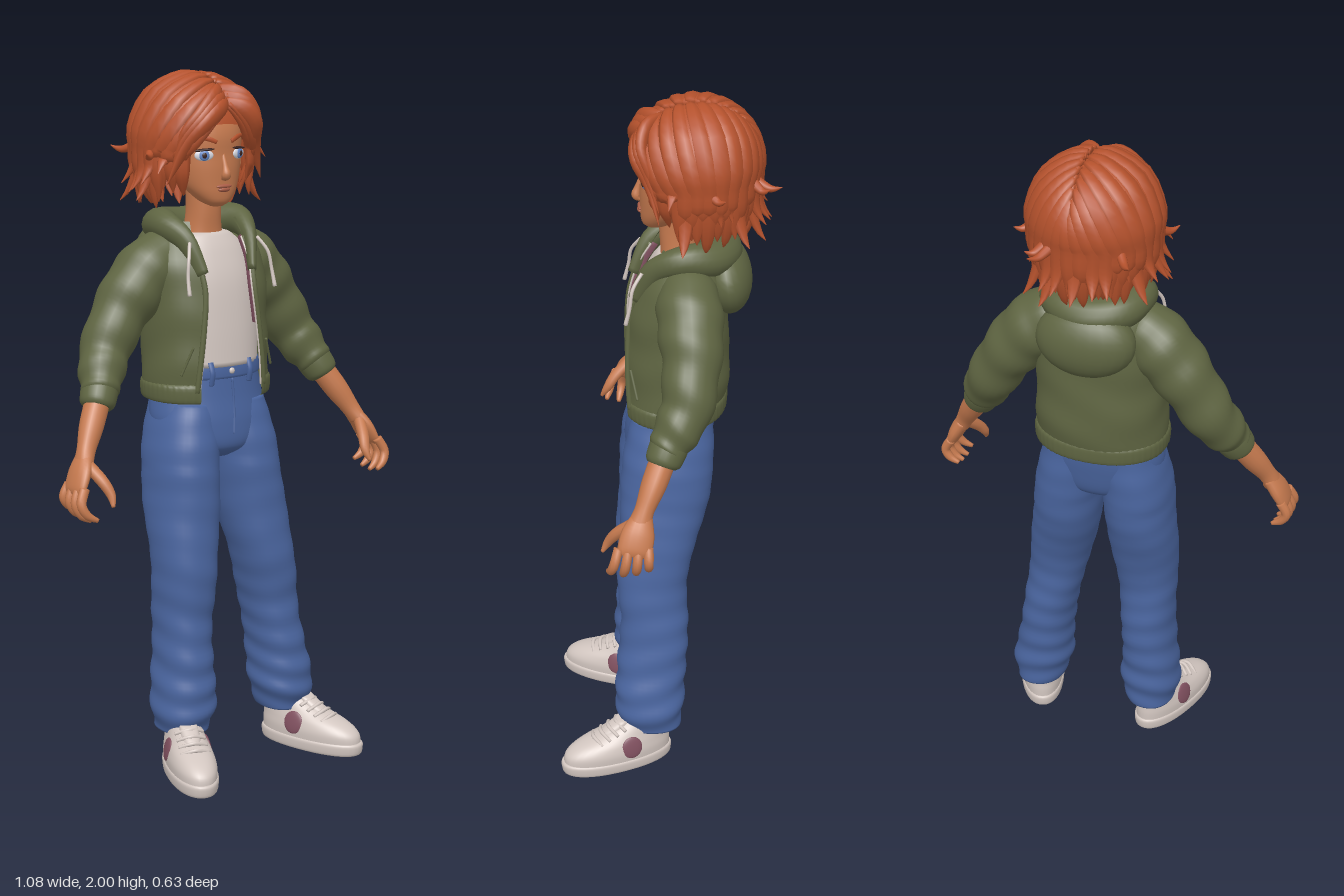
import * as THREE from 'three';
import { mergeVertices } from 'three/addons/utils/BufferGeometryUtils.js';

const mat = (name, color) => Object.assign(new THREE.MeshStandardMaterial({ color, side: THREE.DoubleSide }), { name });
const M = {
  skin: mat('skin', 0xc67a4f), hair: mat('hair', 0xb4512c), olive: mat('olive cloth', 0x5f6542),
  denim: mat('denim', 0x4a659f), cream: mat('cream', 0xd2c6c0), white: mat('eye white', 0xd9dae2),
  blue: mat('iris blue', 0x6488c8), dark: mat('dark brown', 0x3a2320), lip: mat('lip', 0xa85c46), mauve: mat('mauve', 0x80505f),
};
const V = (x, y, z) => new THREE.Vector3(x, y, z);
let seed = 7;
const rnd = () => (seed = (seed * 16807) % 2147483647) / 2147483647;

// Smooth interpolation through rows of numbers, u from 0 to 1
function sample(S, u) {
  const f = u * (S.length - 1), i = Math.min(Math.floor(f), S.length - 2), t = f - i;
  const a = S[Math.max(i - 1, 0)], b = S[i], c = S[i + 1], d = S[Math.min(i + 2, S.length - 1)];
  return b.map((_, k) => 0.5 * (2 * b[k] + (c[k] - a[k]) * t + (2 * a[k] - 5 * b[k] + 4 * c[k] - d[k]) * t * t
    + (3 * b[k] - a[k] - 3 * c[k] + d[k]) * t * t * t));
}

// Skin a surface over rings of points, with end caps when wanted
function surface(name, material, rings, caps) {
  const n = rings[0].length, pos = [], idx = [];
  rings.forEach(r => r.forEach(p => pos.push(p.x, p.y, p.z)));
  for (let i = 0; i < rings.length - 1; i++) for (let j = 0; j < n - 1; j++) {
    const a = i * n + j, c = a + n;
    idx.push(a, a + 1, c, a + 1, c + 1, c);
  }
  if (caps) [0, rings.length - 1].forEach((i, top) => {
    const m = V(0, 0, 0);
    for (let j = 0; j < n - 1; j++) m.addScaledVector(rings[i][j], 1 / (n - 1));
    const c = pos.length / 3;
    pos.push(m.x, m.y, m.z);
    for (let j = i * n; j < i * n + n - 1; j++) top ? idx.push(c, j, j + 1) : idx.push(c, j + 1, j);
  });
  let g = new THREE.BufferGeometry();
  g.setAttribute('position', new THREE.Float32BufferAttribute(pos, 3));
  g.setIndex(idx);
  g = mergeVertices(g, 1e-5);
  g.computeVertexNormals();
  const mesh = new THREE.Mesh(g, material);
  mesh.name = name;
  return mesh;
}

// Horizontal sections, bottom to top: [x, y, z, rx, rz, half width of the front opening]
const E = 2.2;
function loft(name, material, S, { steps = 30, n = 40, bump = () => 1 } = {}) {
  const open = S[0].length > 5, rings = [];
  for (let i = 0; i <= steps; i++) {
    const [x, y, z, rx, rz, o = 0] = sample(S, i / steps), ring = [];
    const a0 = Math.asin(Math.min(1, Math.pow(o / rx, E / 2)));
    for (let j = 0; j <= n; j++) {
      const a = a0 + (j / n) * (2 * Math.PI - 2 * a0), s = Math.sin(a), c = Math.cos(a), b = bump(a, y);
      const q = v => Math.sign(v) * Math.pow(Math.abs(v), 2 / E);
      ring.push(V(x + rx * b * q(s), y, z + rz * b * q(c)));
    }
    rings.push(ring);
  }
  return surface(name, material, rings, !open);
}

// Tapered tube along points [x, y, z, thickness, width along ref]
function limb(name, material, pts, { ref = V(0, 0, 1), steps = 16, n = 10, bump = () => 1 } = {}) {
  const P = pts.map(p => [p[0], p[1], p[2], p[3], p[4] ?? p[3]]), rings = [];
  const at = u => V(...sample(P, Math.min(1, Math.max(0, u))).slice(0, 3));
  for (let i = 0; i <= steps; i++) {
    const u = i / steps, [, , , r, w] = sample(P, u), c = at(u);
    const T = at(u + 0.01).sub(at(u - 0.01)).normalize();
    const S = ref.clone().addScaledVector(T, -ref.dot(T)).normalize(), D = S.clone().cross(T), ring = [];
    for (let j = 0; j <= n; j++) {
      const a = (j / n) * 2 * Math.PI, b = bump(u, a);
      ring.push(c.clone().addScaledVector(D, Math.cos(a) * r * b).addScaledVector(S, Math.sin(a) * w * b));
    }
    rings.push(ring);
  }
  return surface(name, material, rings, true);
}

function blob(name, material, p, s, r = [0, 0, 0]) {
  const m = new THREE.Mesh(new THREE.SphereGeometry(1, 24, 16), material);
  m.name = name;
  m.position.set(...p); m.scale.set(...s); m.rotation.set(...r);
  return m;
}
function group(name, ...parts) {
  const g = new THREE.Group();
  g.name = name;
  return g.add(...parts);
}

function makeHead() {
  const S = [[0, 1.632, .035, .018, .015], [0, 1.645, .025, .042, .042], [0, 1.67, .01, .066, .062], [0, 1.7, -.015, .086, .088],
    [0, 1.74, -.034, .1, .108], [0, 1.78, -.044, .107, .116], [0, 1.83, -.052, .113, .124], [0, 1.88, -.06, .11, .115],
    [0, 1.93, -.065, .085, .085], [0, 1.955, -.065, .03, .03]];
  const faceZ = (x, y) => {
    let best = S[0];
    for (let u = 0; u <= 1; u += 0.005) { const r = sample(S, u); if (Math.abs(r[1] - y) < Math.abs(best[1] - y)) best = r; }
    return best[2] + best[4] * Math.pow(Math.max(0, 1 - Math.pow(Math.abs(x / best[3]), E)), 1 / E);
  };
  const g = group('head', loft('face', M.skin, S),
    loft('neck', M.skin, [[0, 1.5, -.04, .07, .06], [0, 1.56, -.035, .054, .052], [0, 1.62, -.03, .048, .05], [0, 1.7, -.03, .05, .05]]),
    limb('nose', M.skin, [[0, 1.78, .066, .006, .006], [0, 1.745, .077, .01, .009], [0, 1.722, .083, .013, .014], [0, 1.71, .072, .006, .01]], { ref: V(1, 0, 0) }),
    blob('upperLip', M.lip, [0, 1.69, faceZ(0, 1.69)], [.026, .006, .007]),
    blob('lowerLip', M.lip, [0, 1.681, faceZ(0, 1.681)], [.02, .007, .008]));
  for (const s of [-1, 1]) {
    const z = faceZ(.058, 1.778), at = (dy, dz) => [s * (.058 + dz * .4), 1.778 + dy, z + dz], turn = [0, s * .42, 0];
    g.add(blob('eyeWhite', M.white, at(0, 0), [.027, .016, .008], turn), blob('iris', M.blue, at(0, .005), [.015, .0145, .005], turn),
      blob('pupil', M.dark, at(0, .0085), [.007, .008, .003], turn), blob('lash', M.dark, at(.015, .001), [.03, .004, .009], [0, s * .42, -s * .08]),
      limb('eyebrow', M.hair, [.025, .05, .075, .092].map((x, i) => {
        const y = [1.814, 1.824, 1.826, 1.812][i];
        return [s * x, y, faceZ(x, y) + .001, .004, [.006, .007, .005, .002][i]];
      }), { ref: V(0, 1, 0) }),
      blob('ear', M.skin, [s * .108, 1.742, -.035], [.012, .036, .024], [0, s * .4, -s * .15]));
  }
  return g;
}

function makeHair() {
  const C = V(0, 1.82, -.08), R = V(.163, .163, .162);
  const cap = new THREE.Mesh(new THREE.SphereGeometry(.158, 40, 24, 0, 2 * Math.PI, 0, 1.9), M.hair);
  cap.name = 'hairCap'; cap.position.copy(C); cap.rotation.x = -.6;
  const g = group('hair', cap), N = 13;
  // Layered locks fall from the parting to each side, then hang to pointed tips
  for (const s of [-1, 1]) for (let layer = 0; layer < 3; layer++) for (let k = 0; k < N; k++) {
    const f = (k + (layer % 2) * .5) / (N - .5), al = .95 - 2.1 * f, th = .8 + f * 2.34;
    const d0 = V(.1 + s * .05, Math.cos(al), Math.sin(al)).normalize(), d1 = V(Math.sin(th) * s, -.15, Math.cos(th)).normalize();
    const lift = 1 + layer * .03, on = d => d.clone().normalize().multiply(R).multiplyScalar(lift).add(C), pts = [];
    [0, .22, .48, .75, 1].forEach((t, i) => {
      const p = on(d0.clone().lerp(d1, t));
      pts.push([p.x, p.y, p.z, [.008, .014, .018, .018, .016][i], [.014, .024, .03, .032, .03][i]]);
    });
    const out = (r, y) => [C.x + d1.x * R.x * r, y, C.z + d1.z * R.z * r];
    const tip = (f < .2 ? 1.665 : 1.605) + layer * .03 + rnd() * .04, flick = rnd() < .22 ? 1.3 : .8 + rnd() * .2 + layer * .06;
    pts.push([...out(1.01 + layer * .03, tip * .45 + 1.795 * .55), .013, .024], [...out((flick + 1) / 2, tip + .03), .008, .014], [...out(flick, tip), .001, .001]);
    g.add(limb('lock', M.hair, pts, { ref: V(Math.cos(th) * s, 0, -Math.sin(th)), steps: 18, n: 8 }));
  }
  // Bangs sweep off the forehead
  for (const s of [-1, 1]) for (let k = 0; k < 3; k++) g.add(limb('bang', M.hair,
    [[.02, 1.955 - k * .017, .015 + k * .017, .01, .015], [.02 + s * .04, 1.94 - k * .018, .055 + k * .012, .018, .026], [.01 + s * .085, 1.892 - k * .016, .07 + k * .007, .017, .025],
      [s * .118, 1.835 - k * .02, .052, .012, .02], [s * (.135 + k * .012), 1.76 - k * .03, .025, .001, .001]], { ref: V(s * .6, .7, .3) }));
  // Stray flicks
  for (const [x, z, dx, dz] of [[-.1, -.19, -.055, -.085], [.06, -.22, .05, -.085], [.08, -.22, .05, -.05], [-.15, -.06, -.06, .06], [.15, -.1, .055, -.05]])
    g.add(limb('flick', M.hair, [[x, 1.8, z, .016], [x + dx * .6, 1.775, z + dz * .6, .011], [x + dx, 1.785, z + dz, .001]], { ref: V(0, 1, 0) }));
  return g;
}

function makeJacket() {
  const S = [[0, 1.12, -.02, .188, .148, .11], [0, 1.2, -.025, .188, .155, .102], [0, 1.3, -.025, .185, .15, .09], [0, 1.4, -.03, .188, .143, .08],
    [0, 1.48, -.04, .185, .128, .085], [0, 1.54, -.05, .155, .105, .085], [0, 1.59, -.05, .11, .08, .075]];
  const g = group('jacket', loft('jacketBody', M.olive, S, { bump: (a, y) => 1 + .012 * Math.sin(y * 45 + 2 * Math.sin(a * 2)) }),
    loft('hemBand', M.olive, [[0, 1.085, -.02, .18, .14, .105], [0, 1.092, -.02, .192, .151, .105], [0, 1.13, -.02, .194, .153, .105], [0, 1.142, -.02, .184, .146, .105]],
      { steps: 12, n: 120, bump: a => 1 + .006 * Math.sin(a * 90) }));
  const half = [[.085, 1.45, .09, .012, .02], [.108, 1.54, .04, .022, .032], [.122, 1.578, -.04, .04, .042], [.085, 1.568, -.12, .055, .05]];
  g.add(limb('hoodRim', M.olive, [...half, [0, 1.56, -.15, .06, .05], ...half.slice().reverse().map(p => [-p[0], ...p.slice(1)])], { ref: V(0, 1, 0), steps: 48, n: 16 }),
    blob('hoodBack', M.olive, [0, 1.485, -.165], [.142, .105, .073], [.15, 0, 0]));
  for (const s of [-1, 1]) {
    const edge = (dx, r) => S.slice(0, 6).map(([, y, z, rx, rz, o]) =>
      [s * (o - dx), y, z + rz * Math.pow(1 - Math.pow(o / rx, E), 1 / E), r]);
    g.add(limb('zipEdge', M.olive, edge(-.004, .008), { steps: 24 }), limb('zipTeeth', M.cream, edge(.004, .003), { steps: 24, n: 6 }),
      limb('lining', M.mauve, edge(.002, .002).slice(2).map(p => [p[0], p[1], p[2] - .012, .002, .01]), { n: 6 }),
      limb('drawstring', M.cream, [[s * .115, 1.54, .07, .005], [s * .135, 1.5, .096, .005], [s * .143, 1.45, .104, .005], [s * .146, 1.4, .116, .006]], { n: 8 }),
      limb('pocketSeam', M.olive, [[s * .125, 1.25, .103, .004], [s * .155, 1.17, .085, .004]], { n: 6 }));
  }
  return g;
}

function makeArm(s) {
  const m = pts => pts.map(p => [s * p[0], ...p.slice(1)]);
  const g = group(s > 0 ? 'leftArm' : 'rightArm',
    limb('sleeve', M.olive, m([[.1, 1.5, -.05, .07], [.15, 1.47, -.055, .088], [.21, 1.41, -.06, .09], [.27, 1.33, -.06, .08], [.325, 1.235, -.045, .072], [.36, 1.17, -.01, .062], [.378, 1.135, .01, .05]]),
      { steps: 50, n: 24, bump: (u, a) => 1 + (.02 + .04 * u) * Math.sin(u * 34 + 1.3 * Math.sin(a)) }),
    limb('cuff', M.olive, m([[.366, 1.158, 0, .046], [.372, 1.146, .003, .053], [.39, 1.112, .019, .05], [.396, 1.1, .024, .04]]), { n: 24 }),
    limb('forearm', M.skin, m([[.37, 1.15, .005, .036], [.425, 1.06, .045, .035], [.46, 1.0, .072, .027], [.478, .965, .085, .024, .034]]), { n: 16 }),
    limb('palm', M.skin, m([[.468, .985, .077, .022, .028], [.492, .945, .09, .023, .045], [.512, .905, .1, .018, .047], [.518, .888, .103, .01, .04]]), { n: 16 }),
    limb('thumb', M.skin, m([[.475, .965, .1, .018], [.455, .925, .145, .017], [.443, .89, .17, .013], [.447, .86, .188, .005]])));
  for (let k = 0; k < 4; k++) {
    const z = .062 + k * .027, l = [.85, 1, 1.05, .95][k];
    g.add(limb('finger', M.skin, m([[.51, .91, z, .014], [.528, .91 - .04 * l, z + .004 * k, .0135], [.515, .91 - .072 * l, z + .007 * k, .012], [.487, .91 - .09 * l, z + .01 * k, .006]])));
  }
  return g;
}

function makeLeg(s) {
  const xs = s > 0 ? [.226, .22, .205, .182, .155, .118, .1, .08] : [.138, .132, .13, .125, .12, .108, .1, .08];
  const rows = [[.115, .052, .072, .085], [.19, .056, .088, .102], [.3, .05, .082, .1], [.45, .04, .079, .1], [.6, .045, .09, .102], [.8, .012, .1, .124], [.95, -.002, .098, .13], [1.08, -.015, .085, .115]];
  const S = rows.map(([y, z, rx, rz], i) => [s * xs[i], y, z, rx, rz]);
  const leg = loft('trouserLeg', M.denim, S, { steps: 70, bump: (a, y) =>
    1 + (.008 + .045 * Math.max(0, 1 - y / .65)) * Math.sin(y * 75 + 1.8 * Math.sin(a * s + y * 5)) + .015 * Math.sin(y * 24 + 2 * a) * (y < .9 ? 1 : 0) });
  // Shoe is built along +z, then turned out
  const taper = a => 1 + .07 * Math.cos(a);
  const shoe = group('shoe',
    loft('sole', M.cream, [[0, 0, 0, .062, .162], [0, .006, 0, .068, .17], [0, .03, 0, .07, .173], [0, .038, 0, .066, .168]], { steps: 10, bump: taper }),
    loft('shoeUpper', M.cream, [[0, .03, 0, .066, .166], [0, .06, -.003, .067, .163], [0, .085, -.018, .062, .145], [0, .11, -.05, .054, .112], [0, .135, -.075, .048, .086], [0, .16, -.09, .042, .065]], { bump: taper }),
    loft('tongue', M.cream, [[0, .09, .03, .028, .045], [0, .12, .015, .028, .04], [0, .152, -.015, .026, .02]], { steps: 10 }));
  for (let k = 0; k < 4; k++) shoe.add(limb('lace', M.cream, [[-.042, .094 + k * .012, .07 - k * .024, .005], [0, .108 + k * .012, .085 - k * .024, .006], [.042, .094 + k * .012, .07 - k * .024, .005]], { n: 8 }));
  for (const d of [-1, 1]) shoe.add(blob('sidePatch', M.mauve, [d * .0605, .08, -.015], [.007, .034, .032], [0, 0, d * .22]));
  shoe.position.set(s > 0 ? .262 : -.172, 0, .145);
  shoe.rotation.y = s * .35;
  return group(s > 0 ? 'leftLeg' : 'rightLeg', leg, shoe);
}

export function createModel() {
  const hips = group('hips',
    loft('trouserSeat', M.denim, [[0, .915, 0, .05, .07], [0, .95, 0, .14, .115], [0, 1.02, -.008, .178, .127], [0, 1.1, -.018, .168, .126], [0, 1.19, -.015, .148, .114]]),
    loft('waistband', M.denim, [[0, 1.15, -.013, .15, .118], [0, 1.155, -.013, .158, .125], [0, 1.19, -.013, .154, .123], [0, 1.195, -.013, .146, .115]], { steps: 8 }),
    blob('button', M.cream, [0, 1.172, .112], [.009, .009, .006]),
    limb('flySeam', M.denim, [[.004, 1.15, .108, .004], [.008, 1.07, .111, .004], [0, .99, .123, .003]], { n: 6 }));
  for (const x of [-.065, .065]) hips.add(limb('beltLoop', M.denim, [[x, 1.2, .1, .006, .009], [x, 1.17, .11, .006, .009], [x, 1.135, .104, .006, .009]], { ref: V(1, 0, 0), n: 8 }));
  const shirt = group('shirt',
    loft('shirtBody', M.cream, [[0, 1.185, -.005, .145, .118], [0, 1.3, -.015, .152, .118], [0, 1.42, -.03, .152, .115], [0, 1.5, -.036, .13, .092], [0, 1.545, -.036, .088, .066], [0, 1.555, -.036, .06, .053]]));
  return group('person', makeHead(), makeHair(), shirt, makeJacket(), hips, makeArm(1), makeArm(-1), makeLeg(1), makeLeg(-1));
}
